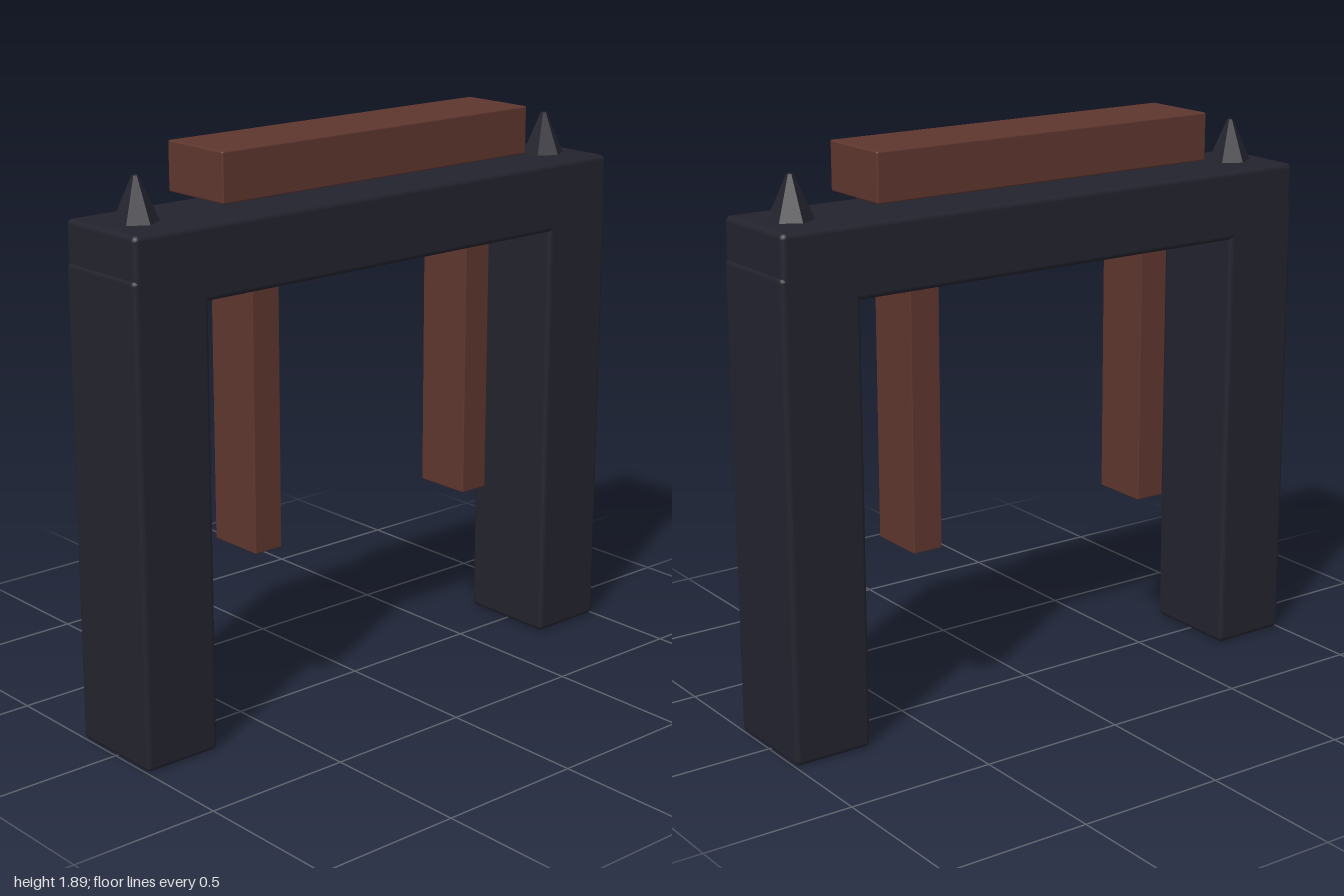
import * as THREE from 'three';
import { RoundedBoxGeometry } from 'three/addons/geometries/RoundedBoxGeometry.js';

export function createModel() {
  const model = new THREE.Group();
  model.name = 'gate';

  const darkStone = new THREE.MeshStandardMaterial({ color: 0x23232e });
  darkStone.name = 'dark stone';
  const brownWood = new THREE.MeshStandardMaterial({ color: 0x5e362e });
  brownWood.name = 'brown wood';

  const add = (name, geometry, material, x, y) => {
    const mesh = new THREE.Mesh(geometry, material);
    mesh.name = name;
    mesh.position.set(x, y, 0);
    model.add(mesh);
  };
  // Softly bevelled block between two heights
  const block = (name, material, x, bottom, top, width, depth, bevel) =>
    add(name, new RoundedBoxGeometry(width, top - bottom, depth, 2, bevel),
      material, x, (bottom + top) / 2);

  // Lintel and the sign board floating just above it
  block('lintel', darkStone, 0, 1.455, 1.69, 1.99, 0.35, 0.018);
  block('signBoard', brownWood, 0, 1.73, 1.89, 1.28, 0.27, 0.006);

  for (const [side, s] of [['left', 1], ['right', -1]]) {
    block(`${side}Pillar`, darkStone, s * 0.8635, 0, 1.56, 0.273, 0.35, 0.018);
    // Hanging banner under the lintel
    block(`${side}Banner`, brownWood, s * 0.455, 0.58, 1.47, 0.107, 0.205, 0.004);
    // Six-sided spike with a blunted tip
    const spike = new THREE.CylinderGeometry(0.01, 0.074, 0.145, 6).toNonIndexed();
    spike.computeVertexNormals();
    add(`${side}Spike`, spike, darkStone, s * 0.862, 1.757);
  }
  return model;
}
